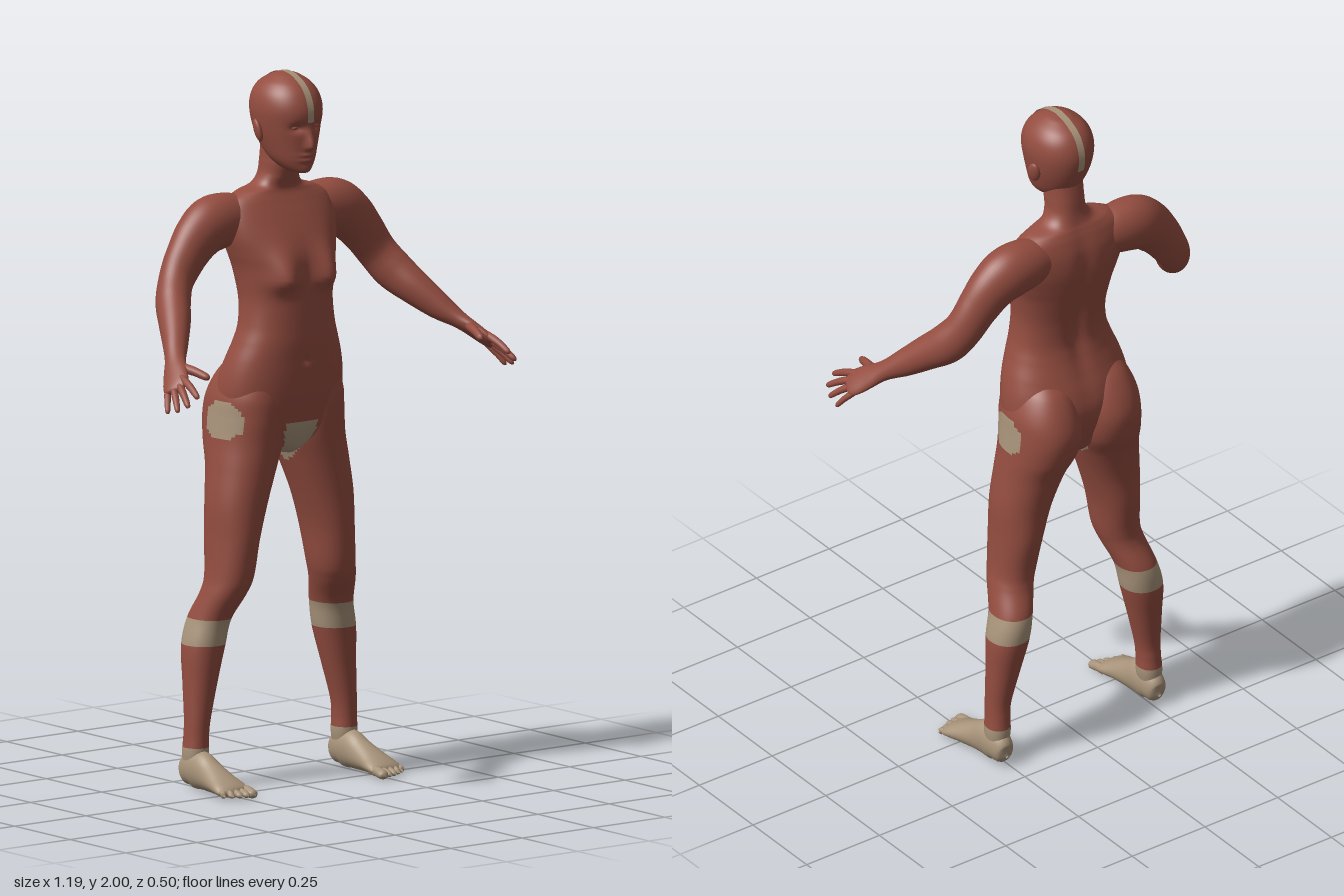
import * as THREE from 'three';
import { ParametricGeometry } from 'three/addons/geometries/ParametricGeometry.js';

const clay = new THREE.MeshStandardMaterial({ color: 0x944d40 });
clay.name = 'clay red';
const sand = new THREE.MeshStandardMaterial({ color: 0xa8937a });
sand.name = 'sand';
const sandSheet = sand.clone();
sandSheet.side = THREE.DoubleSide;

// smooth interpolation through a short list of rows
function sample(rows, v) {
  const f = Math.min(Math.max(v, 0), 1) * (rows.length - 1);
  const i = Math.min(Math.floor(f), rows.length - 2), t = f - i;
  const at = k => rows[Math.min(Math.max(k, 0), rows.length - 1)];
  const [a, b, c, d] = [at(i - 1), at(i), at(i + 1), at(i + 2)];
  return b.map((q, k) => q + 0.5 * t * (c[k] - a[k] + t * (2 * a[k] - 5 * q + 4 * c[k] - d[k]
    + t * (3 * (q - c[k]) + d[k] - a[k]))));
}
const bell = (d, s) => Math.exp(-(d * d) / (s * s));
const pow = (c, e) => Math.sign(c) * Math.abs(c) ** e;

// upright form: rows of [y, xMin, xMax, zFront, zBack]
function upright(rows, e = 1, shape = null) {
  return (u, v, p) => {
    const [y, x0, x1, zf, zb] = sample(rows, v), a = u * Math.PI * 2;
    p.set((x0 + x1) / 2 + (x1 - x0) / 2 * pow(Math.cos(a), e), y,
      (zf + zb) / 2 - (zf - zb) / 2 * pow(Math.sin(a), e));
    if (shape) shape(p, Math.max(0, -Math.sin(a)), Math.max(0, Math.sin(a)));
  };
}

// limb along a path: rows of [x, y, z, halfWidth, halfHeight, twist]
function limb(rows) {
  const up = new THREE.Vector3(0, 1, 0);
  return (u, v, p) => {
    const [x, y, z, ra, rb, w] = sample(rows, v);
    const q = sample(rows, v + 0.01), o = sample(rows, v - 0.01);
    const T = new THREE.Vector3(q[0] - o[0], q[1] - o[1], q[2] - o[2]).normalize();
    const S = new THREE.Vector3().crossVectors(up, T).normalize();
    const N = new THREE.Vector3().crossVectors(T, S);
    const a = u * Math.PI * 2, c = ra * Math.cos(a), s = rb * Math.sin(a);
    p.set(x, y, z)
      .addScaledVector(S, c * Math.cos(w) - s * Math.sin(w))
      .addScaledVector(N, c * Math.sin(w) + s * Math.cos(w));
  };
}
const mirrored = fn => (u, v, p) => { fn(1 - u, v, p); p.x = -p.x; };

// sand-coloured areas of the body
function isSand(x, y, z) {
  x = Math.abs(x);
  if (y < 0.12 || (y > 0.4 && y < 0.476)) return true;
  const dz = Math.abs(z + 0.093) / 0.064, dy = Math.abs(y - 1.033) / 0.052;
  if (x > 0.12 && dz < 1 && dy < 1 && dz + dy < 1.5) return true;
  return y > 0.88 && y < 1.022 && z > -0.17 && x < Math.min(0.056, 0.032 + 0.35 * Math.max(0, y - 0.93));
}
// sort quads into two material groups
function paint(geo) {
  const P = geo.attributes.position, idx = geo.index.array, sets = [[], []];
  for (let i = 0; i < idx.length; i += 6) {
    const quad = Array.from(idx.slice(i, i + 6)), c = [0, 0, 0];
    for (const k of [quad[0], quad[1], quad[2], quad[4]]) {
      c[0] += P.getX(k) / 4; c[1] += P.getY(k) / 4; c[2] += P.getZ(k) / 4;
    }
    sets[isSand(...c) ? 1 : 0].push(...quad);
  }
  geo.setIndex(sets[0].concat(sets[1]));
  geo.addGroup(0, sets[0].length, 0);
  geo.addGroup(sets[0].length, sets[1].length, 1);
  return geo;
}

export function createModel() {
  const model = new THREE.Group();
  model.name = 'figure';
  const add = (name, geo, mat) => {
    const m = new THREE.Mesh(geo, mat);
    m.name = name;
    model.add(m);
    return m;
  };
  const pair = (name, fn, nu, nv, mat, painted) => [['left', fn], ['right', mirrored(fn)]].forEach(([side, f]) => {
    const g = new ParametricGeometry(f, nu, nv);
    add(side + name, painted ? paint(g) : g, mat);
  });

  // torso and neck: [y, halfWidth, zFront, zBack]
  const torsoRows = [
    [0.93, 0.02, -0.04, -0.14], [0.95, 0.06, -0.015, -0.18], [1.0, 0.15, 0.008, -0.2],
    [1.05, 0.187, 0.018, -0.215], [1.1, 0.194, 0.026, -0.218], [1.15, 0.19, 0.031, -0.207],
    [1.2, 0.178, 0.034, -0.188], [1.25, 0.16, 0.037, -0.171], [1.3, 0.145, 0.037, -0.162],
    [1.37, 0.139, 0.036, -0.168], [1.45, 0.15, 0.032, -0.185], [1.5, 0.165, 0.024, -0.194],
    [1.55, 0.18, 0.005, -0.198], [1.6, 0.185, -0.02, -0.193], [1.64, 0.17, -0.042, -0.181],
    [1.665, 0.13, -0.054, -0.17], [1.682, 0.078, -0.054, -0.162], [1.71, 0.056, -0.044, -0.155],
    [1.75, 0.052, -0.036, -0.15], [1.8, 0.05, -0.05, -0.142],
  ].map(([y, r, f, b]) => [y, -r, r, f, b]);
  const torso = upright(torsoRows, 0.88, (p, front, back) => {
    const x = Math.abs(p.x), dy = p.y - 1.43;
    p.z += 0.036 * Math.sqrt(front) * bell(x - 0.078, 0.045) * bell(dy, dy > 0 ? 0.075 : 0.032);
    p.z += 0.014 * back * bell(x, 0.03) * bell(p.y - 1.4, 0.2);
    p.z -= 0.006 * front * bell(x, 0.012) * bell(p.y - 1.2, 0.012);
  });
  add('torso', paint(new ParametricGeometry(torso, 88, 130)), [clay, sand]);

  // legs, with the buttocks in their upper rows
  pair('Leg', upright([
    [0.05, 0.235, 0.29, -0.1, -0.17], [0.1, 0.226, 0.295, -0.097, -0.175],
    [0.15, 0.226, 0.292, -0.097, -0.172], [0.2, 0.22, 0.291, -0.095, -0.172],
    [0.3, 0.195, 0.29, -0.09, -0.187], [0.4, 0.17, 0.288, -0.08, -0.203],
    [0.475, 0.157, 0.27, -0.068, -0.2], [0.55, 0.13, 0.25, -0.03, -0.17],
    [0.6, 0.115, 0.24, -0.015, -0.166], [0.7, 0.098, 0.234, -0.006, -0.18],
    [0.8, 0.068, 0.232, -0.003, -0.187], [0.9, 0.032, 0.219, 0, -0.208],
    [0.97, 0.006, 0.21, 0.004, -0.238], [1.04, 0, 0.203, 0.011, -0.251],
    [1.1, 0.004, 0.196, 0.012, -0.238], [1.16, 0.02, 0.172, 0, -0.205],
    [1.2, 0.05, 0.14, -0.03, -0.16],
  ], 0.93), 64, 130, [clay, sand], true);

  // feet and toes
  pair('Foot', limb([
    [0.262, 0.035, -0.184, 0.004, 0.005, 0], [0.262, 0.039, -0.172, 0.027, 0.034, 0],
    [0.262, 0.055, -0.14, 0.036, 0.053, 0], [0.262, 0.055, -0.1, 0.037, 0.054, 0],
    [0.263, 0.045, -0.06, 0.039, 0.044, 0], [0.266, 0.033, -0.01, 0.046, 0.032, 0],
    [0.267, 0.023, 0.03, 0.053, 0.022, 0], [0.268, 0.016, 0.052, 0.046, 0.014, 0],
    [0.268, 0.014, 0.062, 0.003, 0.002, 0],
  ]), 32, 32, sand);
  for (let i = 0; i < 5; i++) {
    const x = 0.229 + i * 0.0205, r = i ? 0.0105 - i * 0.0005 : 0.0145, tip = 0.094 - i * i * 0.0018;
    pair('Toe' + (i + 1), limb([
      [x, 0.02, 0.025, r * 0.8, r, 0], [x, 0.018, 0.055, r * 0.9, r, 0],
      [x, 0.012, tip - 0.01, r, r * 0.85, 0], [x, 0.01, tip, 0.001, 0.001, 0],
    ]), 12, 12, sand);
  }

  // arms running into the palms
  pair('Arm', limb([
    [0.08, 1.59, -0.125, 0.05, 0.055, 0], [0.15, 1.592, -0.125, 0.064, 0.073, 0],
    [0.215, 1.585, -0.124, 0.067, 0.079, 0], [0.265, 1.555, -0.12, 0.06, 0.072, 0],
    [0.31, 1.505, -0.115, 0.052, 0.063, 0], [0.352, 1.445, -0.105, 0.048, 0.056, 0],
    [0.386, 1.393, -0.075, 0.049, 0.057, 0], [0.42, 1.348, -0.025, 0.045, 0.049, 0],
    [0.46, 1.3, 0.03, 0.036, 0.038, 0], [0.495, 1.265, 0.075, 0.03, 0.025, -0.4],
    [0.522, 1.237, 0.11, 0.037, 0.019, -0.6], [0.546, 1.21, 0.143, 0.04, 0.015, -0.6],
    [0.556, 1.2, 0.158, 0.028, 0.01, -0.6], [0.56, 1.196, 0.163, 0.002, 0.002, -0.6],
  ]), 40, 90, clay);

  // fingers: [name, knuckle, tip, radius]
  [
    ['Thumb', [0.505, 1.25, 0.108], [0.477, 1.229, 0.207], 0.013],
    ['IndexFinger', [0.534, 1.224, 0.165], [0.546, 1.186, 0.244], 0.0105],
    ['MiddleFinger', [0.545, 1.211, 0.156], [0.574, 1.162, 0.236], 0.0105],
    ['RingFinger', [0.554, 1.2, 0.143], [0.588, 1.146, 0.206], 0.01],
    ['LittleFinger', [0.562, 1.189, 0.126], [0.593, 1.137, 0.166], 0.009],
  ].forEach(([name, k, t, r]) => {
    const row = (f, s, lift = 0) => [...k.map((q, i) => q + (t[i] - q) * f + (i === 1 ? lift : 0)), r * s, r * s, 0];
    pair(name, limb([row(-0.2, 0.9), row(0.2, 1.05, 0.003), row(0.55, 0.95, 0.004),
      row(0.9, 0.75, 0.001), row(1, 0.08)]), 12, 14, clay);
  });

  // head with sculpted face
  const headRows = [
    [1.724, 0.004, 0.012, 0], [1.728, 0.024, 0.027, -0.04], [1.742, 0.042, 0.033, -0.08],
    [1.765, 0.058, 0.037, -0.115], [1.8, 0.071, 0.04, -0.145], [1.85, 0.085, 0.044, -0.167],
    [1.9, 0.092, 0.049, -0.176], [1.94, 0.086, 0.037, -0.168], [1.97, 0.067, 0.013, -0.147],
    [1.99, 0.039, -0.02, -0.112], [1.997, 0.021, -0.042, -0.088], [2, 0.001, -0.064, -0.066],
  ].map(([y, r, f, b]) => [y, -r, r, f, b]);
  const head = upright(headRows, 0.95, (p, front) => {
    const x = Math.abs(p.x), y = p.y, dy = y - 1.803;
    p.z += front * (0.021 * bell(x, 0.013) * bell(dy, dy > 0 ? 0.038 : 0.012)
      + 0.006 * bell(x, 0.024) * (bell(y - 1.778, 0.007) + bell(y - 1.763, 0.007))
      + 0.004 * bell(x, 0.02) * bell(y - 1.737, 0.014)
      - 0.012 * bell(x - 0.033, 0.019) * bell(y - 1.856, 0.013));
  });
  add('head', new ParametricGeometry(head, 88, 110), clay);

  // closed eyelids and ears
  for (const s of [-1, 1]) {
    const lid = add(s > 0 ? 'leftEyelid' : 'rightEyelid', new THREE.SphereGeometry(0.012, 16, 12), clay);
    lid.position.set(s * 0.034, 1.856, 0.021);
    lid.scale.set(1.1, 0.6, 0.7);
    const ear = add(s > 0 ? 'leftEar' : 'rightEar', new THREE.SphereGeometry(0.03, 20, 14), clay);
    ear.position.set(s * 0.089, 1.842, -0.075);
    ear.scale.set(0.35, 1.1, 0.65);
    ear.rotation.set(-0.2, s * 0.35, -s * 0.15);
  }

  // stripe over the crown, following the midline of the head
  const centre = new THREE.Vector3(0, 1.88, -0.06);
  add('crownStripe', new ParametricGeometry((u, v, p) => {
    const k = 1 - 2 * v, start = k > 0 ? 0.491 : 0.475;
    head(k > 0 ? 0.75 : 0.25, 1 - Math.abs(k) * (1 - start), p);
    p.sub(centre).multiplyScalar(1.014).add(centre);
    p.x = (u - 0.5) * 0.021;
  }, 2, 60), sandSheet);

  return model;
}
